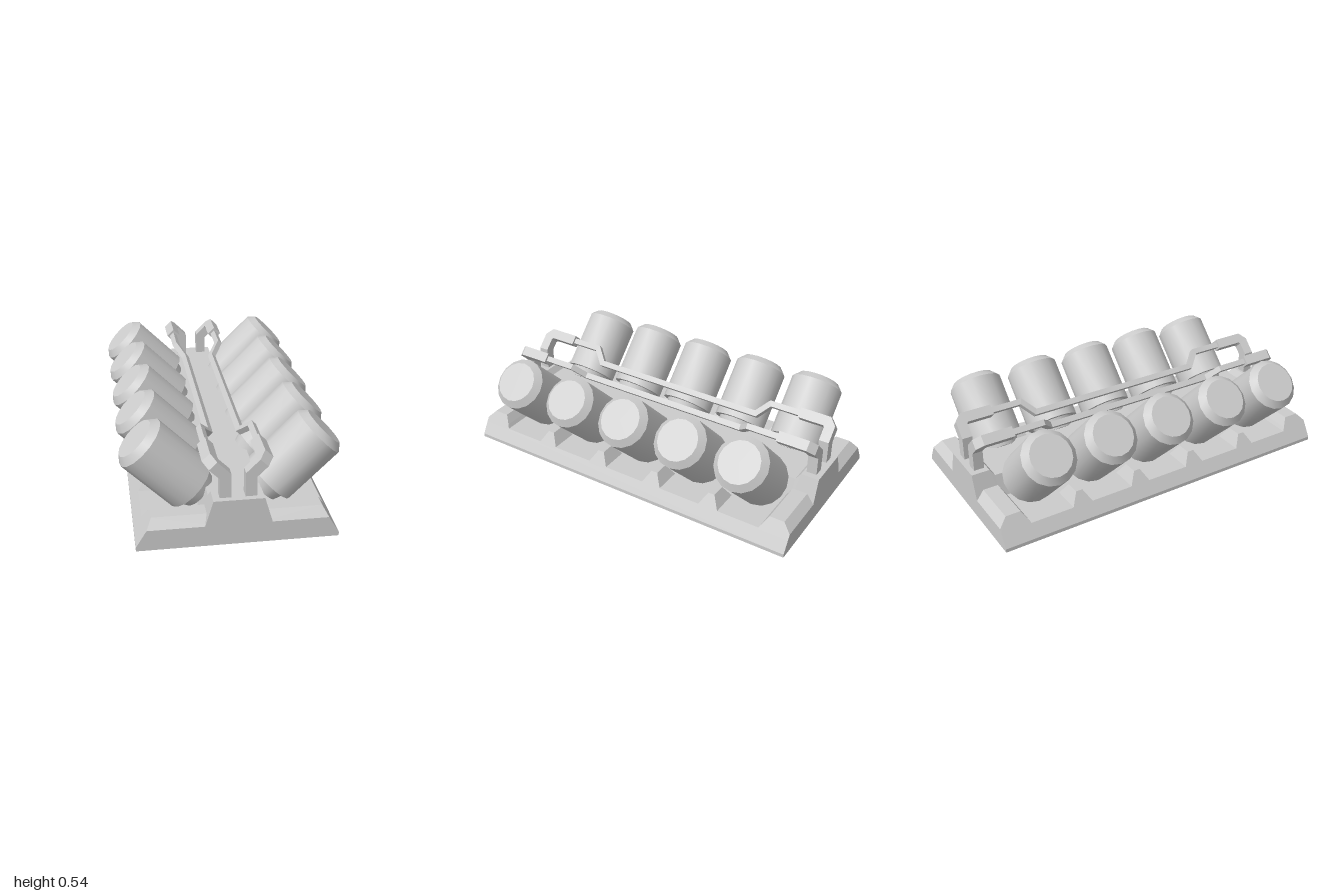
import * as THREE from 'three';
import { ConvexGeometry } from 'three/addons/geometries/ConvexGeometry.js';
import { toCreasedNormals } from 'three/addons/utils/BufferGeometryUtils.js';

const V = (x, y, z) => new THREE.Vector3(x, y, z);

export function createModel() {
  const root = new THREE.Group();
  const mat = new THREE.MeshStandardMaterial({ color: 0xcccccc });
  const add = (name, geo, parent = root) => {
    const mesh = new THREE.Mesh(geo, mat);
    mesh.name = name;
    parent.add(mesh);
    return mesh;
  };

  // Faceted block from stacked rectangles [y, x0, x1, z0, z1], mirrored by sx and sz
  const block = (name, layers, sx = 1, sz = 1) => {
    const pts = [];
    for (const [y, x0, x1, z0, z1] of layers)
      for (const x of [x0, x1]) for (const z of [z0, z1]) pts.push(V(x * sx, y, z * sz));
    return add(name, new ConvexGeometry(pts));
  };

  // Square-section pipe with mitred corners along a path of points
  const pipe = (name, path, width, firstAxis) => {
    const dirs = path.slice(1).map((p, i) => p.clone().sub(path[i]).normalize());
    const u = firstAxis.clone().normalize();
    const v = dirs[0].clone().cross(u);
    const h = width / 2;
    let ring = [[1, 1], [-1, 1], [-1, -1], [1, -1]].map(([a, b]) =>
      path[0].clone().addScaledVector(u, a * h).addScaledVector(v, b * h));
    const pos = [];
    const quad = (a, b, c, d) => [a, b, c, a, c, d].forEach((p) => pos.push(p.x, p.y, p.z));
    quad(ring[3], ring[2], ring[1], ring[0]);
    dirs.forEach((d, i) => {
      const n = dirs[i + 1] ? d.clone().add(dirs[i + 1]) : d.clone();
      const next = ring.map((p) =>
        p.clone().addScaledVector(d, path[i + 1].clone().sub(p).dot(n) / d.dot(n)));
      for (let k = 0; k < 4; k++) {
        const m = (k + 1) % 4;
        quad(ring[k], ring[m], next[m], next[k]);
      }
      ring = next;
    });
    quad(ring[0], ring[1], ring[2], ring[3]);
    const geo = new THREE.BufferGeometry();
    geo.setAttribute('position', new THREE.Float32BufferAttribute(pos, 3));
    geo.computeVertexNormals();
    return add(name, geo);
  };

  // Base plate and central ridge with taller end caps
  block('basePlate', [[0, -0.5, 0.5, -1, 1], [0.02, -0.5, 0.5, -1, 1], [0.09, -0.458, 0.458, -1, 1]]);
  block('centralRidge', [[0.08, -0.174, 0.174, -0.95, 0.95], [0.21, -0.135, 0.135, -0.95, 0.95]]);
  for (const sz of [-1, 1])
    block('ridgeEndCap', [[0.08, -0.174, 0.174, 0.87, 1], [0.21, -0.135, 0.135, 0.875, 1],
      [0.245, -0.125, 0.125, 0.9, 1]], 1, sz);

  // Canister: chamfered outer end, stepped inner plug
  const profile = [[0, -0.06], [0.1, -0.06], [0.12, 0], [0.147, 0], [0.147, 0.346], [0.113, 0.382], [0, 0.382]]
    .map(([r, y]) => new THREE.Vector2(r, y));
  const canisterGeo = toCreasedNormals(new THREE.LatheGeometry(profile, 16), 0.6);
  const pitch = 0.356;

  for (const s of [-1, 1]) {
    // Canisters lean outward at 45 degrees
    for (let i = -2; i <= 2; i++) {
      const c = add('canister', canisterGeo);
      c.position.set(s * 0.204, 0.191, i * pitch);
      c.rotation.z = -s * Math.PI / 4;
    }

    // Ribs between the cradles
    for (let i = -1.5; i <= 1.5; i++) {
      const z = i * pitch;
      block('cradleRib', [[0.08, 0.294, 0.464, z - 0.063, z + 0.063], [0.155, 0.34, 0.42, z - 0.018, z + 0.018]], s);
    }

    for (const sz of [-1, 1]) {
      // End rail
      block('endRail', [[0.085, 0.1, 0.461, 0.83, 1], [0.11, 0.1, 0.446, 0.844, 1],
        [0.155, 0.1, 0.42, 0.872, 0.955]], s, sz);

      // Thick pipe elbow rising from the end cap
      pipe('pipeElbow', [[0.063, 0.22, 0.943], [0.063, 0.36, 0.943], [0.115, 0.412, 0.943],
        [0.1325, 0.43, 0.92], [0.1325, 0.43, 0.76]].map(([x, y, z]) => V(s * x, y, sz * z)),
      0.056, V(1, 0, 0));
    }

    // Thin pipe running the length of the ridge
    pipe('longPipe', [[0.1325, 0.43, 0.78], [0.1325, 0.43, 0.585], [0.083, 0.37, 0.52],
      [0.083, 0.37, -0.52], [0.1325, 0.43, -0.585], [0.1325, 0.43, -0.78]]
      .map(([x, y, z]) => V(s * x, y, z)), 0.032, V(s, 1, 0));
  }
  return root;
}
